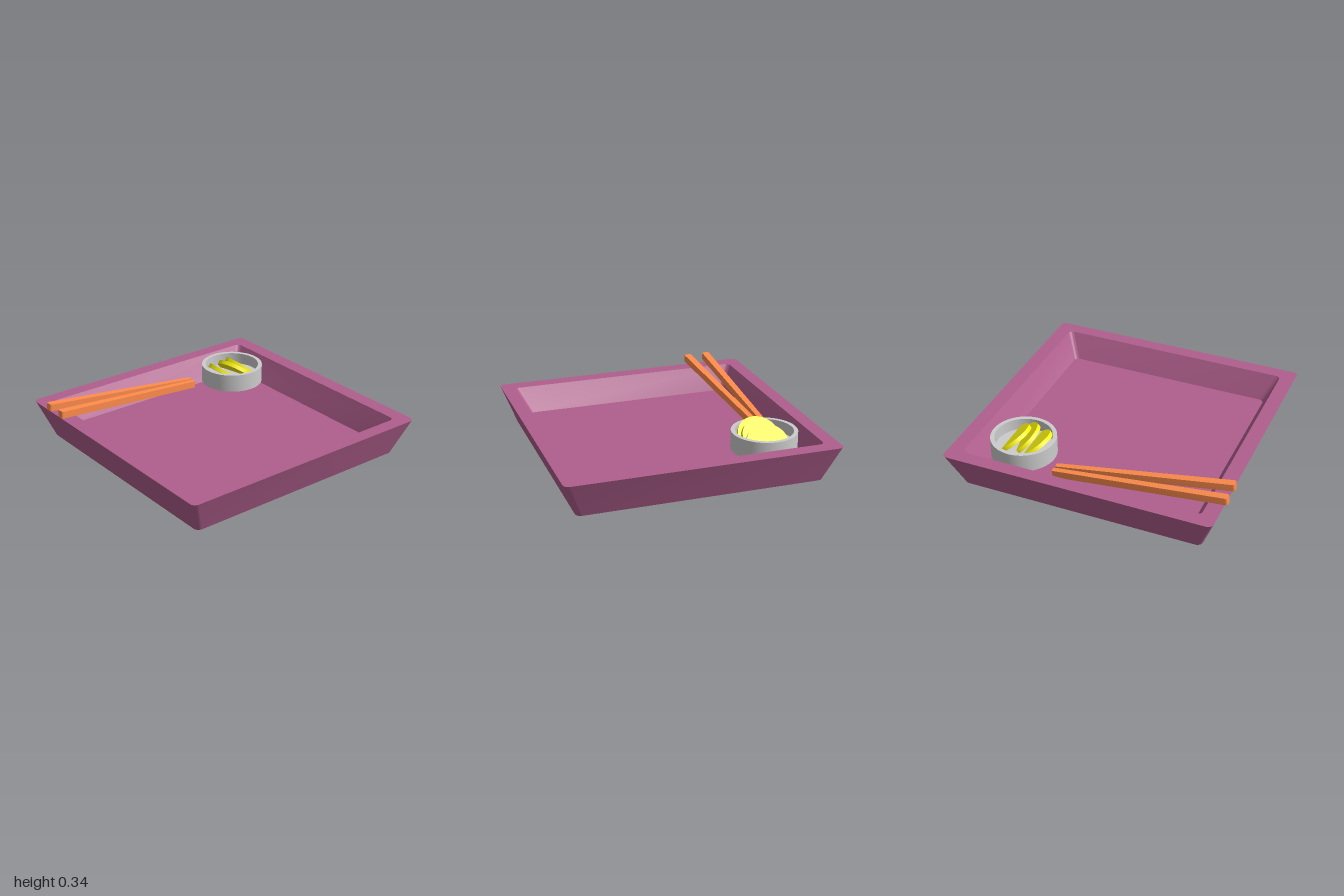
import * as THREE from 'three';
import { toCreasedNormals } from 'three/addons/utils/BufferGeometryUtils.js';

const mat = (color) => new THREE.MeshStandardMaterial({ color });

function part(name, geometry, material) {
  const mesh = new THREE.Mesh(toCreasedNormals(geometry, 0.6), material);
  mesh.name = name;
  return mesh;
}

// Plan outline of a rounded rectangle, as [x, z] pairs
function roundedRing(halfX, halfZ, r, steps = 6) {
  const ring = [];
  for (let q = 0; q < 4; q++) {
    const sx = q === 0 || q === 3 ? 1 : -1;
    const sz = q < 2 ? 1 : -1;
    for (let i = 0; i <= steps; i++) {
      const a = (q + i / steps) * Math.PI / 2;
      ring.push([sx * (halfX - r) + r * Math.cos(a), sz * (halfZ - r) + r * Math.sin(a)]);
    }
  }
  return ring;
}

// Skin over rounded-rectangle sections; first and last sections are points
function trayGeometry(sections) {
  const pos = [], index = [];
  let n = 0;
  for (const [hx, hz, r, y] of sections) {
    const ring = roundedRing(hx, hz, r);
    n = ring.length;
    for (const [x, z] of ring) pos.push(x, y, z);
  }
  for (let i = 0; i < sections.length - 1; i++) {
    for (let j = 0; j < n; j++) {
      const a = i * n + j, b = i * n + (j + 1) % n, c = a + n, d = b + n;
      if (i > 0) index.push(a, c, b);
      if (i < sections.length - 2) index.push(b, c, d);
      else index.push(a, c, b);
    }
  }
  const g = new THREE.BufferGeometry();
  g.setAttribute('position', new THREE.Float32BufferAttribute(pos, 3));
  g.setIndex(index);
  return g;
}

// Tapered stick lying along z, from thin tip (-z) to thick end (+z)
function stickGeometry(length, tip, end, thick) {
  const h = length / 2, t = tip / 2, e = end / 2, r = 0.015;
  const s = new THREE.Shape();
  s.moveTo(-e, -h + r);
  s.quadraticCurveTo(-e, -h, -e + r, -h);
  s.lineTo(e - r, -h);
  s.quadraticCurveTo(e, -h, e, -h + r);
  s.lineTo(t, h - r);
  s.quadraticCurveTo(t, h, t - r, h);
  s.lineTo(-t + r, h);
  s.quadraticCurveTo(-t, h, -t, h - r);
  s.closePath();
  const g = new THREE.ExtrudeGeometry(s, { depth: thick, bevelEnabled: false, curveSegments: 4 });
  return g.translate(0, 0, -thick / 2).rotateX(-Math.PI / 2);
}

export function createModel() {
  const model = new THREE.Group();
  const plum = mat(0xb05f8d), orange = mat(0xff8c4c), yellow = mat(0xfcf510), grey = mat(0xcccccc);

  // Sloped square tray
  const tray = part('tray', trayGeometry([
    [0, 0, 0, 0],
    [0.88, 0.885, 0.04, 0],
    [0.98, 0.985, 0.04, 0.265],
    [0.88, 0.877, 0.035, 0.265],
    [0.785, 0.787, 0.035, 0.085],
    [0, 0, 0, 0.085],
  ]), plum);
  tray.position.z = -0.015;
  model.add(tray);

  // Small round dish in the back corner
  const profile = [[0, 0.15], [0.235, 0.15], [0.235, 0.285], [0.205, 0.285], [0.205, 0.2], [0, 0.2]];
  const dish = part('dish', new THREE.LatheGeometry(profile.map(([x, y]) => new THREE.Vector2(x, y)), 48), grey);
  dish.position.set(-0.57, 0, -0.573);
  model.add(dish);

  // Half-round slices leaning forward in the dish
  const half = new THREE.Shape();
  half.absarc(0, 0, 0.152, 0, Math.PI, false);
  half.closePath();
  const sliceGeometry = new THREE.ExtrudeGeometry(half, { depth: 0.03, bevelEnabled: false, curveSegments: 24 });
  const slices = new THREE.Group();
  slices.name = 'slices';
  for (const [x, y, z, yaw, tilt] of [
    [-0.555, 0.236, -0.68, 0, 0.9],
    [-0.545, 0.24, -0.605, 0.22, 0.85],
    [-0.555, 0.23, -0.515, 0, 0.93],
  ]) {
    const slice = part('slice', sliceGeometry, yellow);
    slice.position.set(x, y, z);
    slice.rotation.set(tilt, yaw, 0, 'YXZ');
    slices.add(slice);
  }
  model.add(slices);

  // Pair of chopsticks resting on the front rim
  const stick = stickGeometry(1.28, 0.04, 0.056, 0.052);
  const sticks = new THREE.Group();
  sticks.name = 'chopsticks';
  for (const [x, yaw] of [[-0.725, 0], [-0.62, 0.08]]) {
    const s = part('chopstick', stick, orange);
    s.position.set(x, 0.237, 0.358);
    s.rotation.set(-0.12, yaw, 0, 'YXZ');
    sticks.add(s);
  }
  model.add(sticks);

  return model;
}
